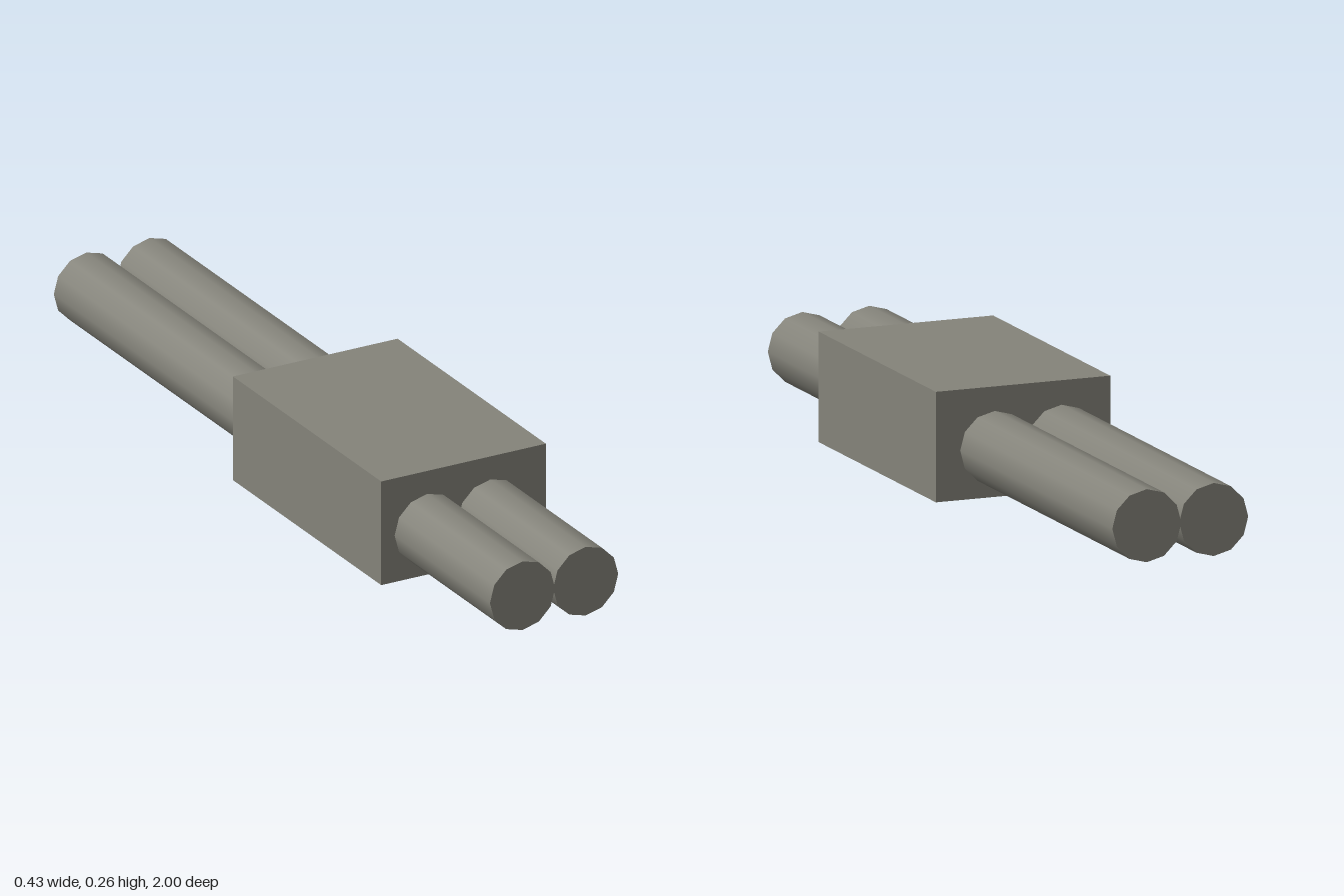
import * as THREE from 'three';

export function createModel() {
  const model = new THREE.Group();
  model.name = 'twinTubeBlock';
  const metal = new THREE.MeshStandardMaterial({ color: 0x84837a });
  metal.name = 'warm grey metal';

  // Rectangular housing around the tubes
  const housing = new THREE.Mesh(new THREE.BoxGeometry(0.43, 0.257, 0.68), metal);
  housing.name = 'housing';
  housing.position.set(0, 0.1285, 0.223);
  model.add(housing);

  // Two twelve-sided tubes running the full length, slightly overlapping
  const tubeGeometry = new THREE.CylinderGeometry(0.085, 0.085, 2, 12).rotateX(Math.PI / 2);
  for (const [name, x] of [['rightTube', -0.095], ['leftTube', 0.07]]) {
    const tube = new THREE.Mesh(tubeGeometry, metal);
    tube.name = name;
    tube.position.set(x, 0.115, 0);
    model.add(tube);
  }
  return model;
}
